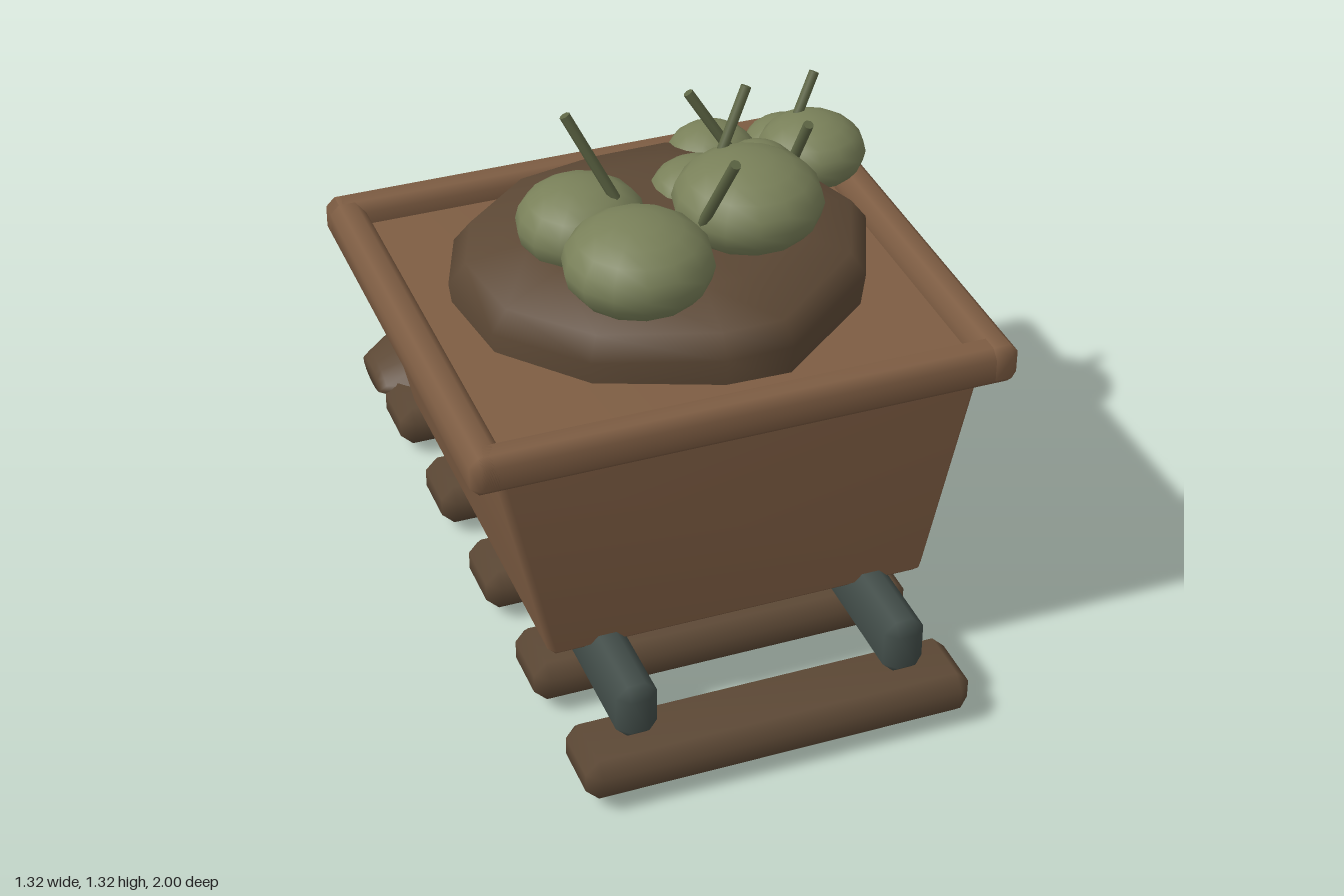
import * as THREE from 'three';
import { mergeVertices } from 'three/addons/utils/BufferGeometryUtils.js';
import { ConvexGeometry } from 'three/addons/geometries/ConvexGeometry.js';

const material = (name, color) => {
  const m = new THREE.MeshStandardMaterial({ color });
  m.name = name;
  return m;
};

// Smooth-shaded box with chamfered edges; taper narrows x towards the bottom
function chamferBox(w, h, d, c, taper = 1) {
  const half = [w / 2, h / 2, d / 2];
  const points = [];
  for (const sx of [-1, 1]) for (const sy of [-1, 1]) for (const sz of [-1, 1]) {
    for (let axis = 0; axis < 3; axis++) {
      const [x, y, z] = [sx, sy, sz].map((s, i) => s * (half[i] - (i === axis ? 0 : c)));
      const k = taper + (1 - taper) * (y / h + 0.5);
      points.push(new THREE.Vector3(x * k, y, z));
    }
  }
  let g = new ConvexGeometry(points);
  g.deleteAttribute('normal');
  g = mergeVertices(g, 1e-5);
  g.computeVertexNormals();
  return g;
}

// Skin stretched over equal-length rings of [x, y, z] points
function loft(rings) {
  const n = rings[0].length, index = [];
  for (let i = 0; i < rings.length - 1; i++) {
    for (let j = 0; j < n; j++) {
      const a = i * n + j, b = i * n + (j + 1) % n;
      index.push(a, a + n, b + n, a, b + n, b);
    }
  }
  const g = new THREE.BufferGeometry();
  g.setAttribute('position', new THREE.Float32BufferAttribute(rings.flat(2), 3));
  g.setIndex(index);
  g.computeVertexNormals();
  return g;
}

export function createModel() {
  const wood = material('cart wood', 0x7e5d43);
  const darkWood = material('dark brown', 0x5c4835);
  const iron = material('rail iron', 0x424d49);
  const green = material('fruit green', 0x798059);
  const stemGreen = material('stem green', 0x5d6544);

  const model = new THREE.Group();
  const add = (name, geometry, mat, x = 0, y = 0, z = 0) => {
    const mesh = new THREE.Mesh(geometry, mat);
    mesh.name = name;
    mesh.position.set(x, y, z);
    model.add(mesh);
    return mesh;
  };

  // Track: five sleepers and two rails
  for (let i = 0; i < 5; i++) {
    add('sleeper', chamferBox(0.955, 0.112, 0.2, 0.032), darkWood, 0, 0.086, 0.9 - i * 0.368);
  }
  for (const s of [-1, 1]) {
    add('rail', chamferBox(0.1, 0.145, 1.545, 0.028), iron, s * 0.332, 0.212, 0.161);
  }

  // Cart: tapered body and a rim of four beams
  const cz = 0.163;
  add('cartBody', chamferBox(1.2, 0.585, 1.1, 0.02, 0.78), wood, 0, 0.538, cz);
  for (const s of [-1, 1]) {
    add('rimSide', chamferBox(0.085, 0.1, 1.205, 0.022), wood, s * 0.6175, 0.835, cz);
    add('rimEnd', chamferBox(1.32, 0.1, 0.085, 0.022), wood, 0, 0.835, cz + s * 0.56);
  }

  // Heap of earth inside the cart
  const outline = [[-0.49, 0.05], [-0.42, -0.13], [-0.23, -0.28], [-0.02, -0.31], [0.19, -0.3],
    [0.36, -0.18], [0.46, -0.05], [0.53, 0.17], [0.43, 0.4], [0.16, 0.61], [0, 0.605],
    [-0.29, 0.49], [-0.46, 0.29]];
  const heap = [[0.78, 0.97], [0.9, 1], [0.955, 0.92], [1.0, 0.62], [1.02, 0.3], [1.02, 0]];
  add('earthHeap', loft(heap.map(([y, k]) => outline.map(([x, z]) =>
    [0.02 + (x - 0.02) * k, y + 0.04 * x * k, 0.17 + (z - 0.17) * k]))), darkWood);

  // Pinched sack lying behind the cart
  const sack = [];
  for (let i = 0; i <= 12; i++) {
    const t = Math.sin((i / 6 - 1) * Math.PI / 2);
    const hz = 0.27 * (1 - 0.7 * Math.abs(t) ** 2.2), hy = 0.137 * (1 - 0.8 * t * t);
    const ring = (k) => Array.from({ length: 16 }, (_, j) => {
      const a = j / 16 * Math.PI * 2;
      return [0.49 * t, 0.147 + 0.03 * t + k * hy * Math.cos(a), -0.73 - k * hz * Math.sin(a)];
    });
    if (i === 0) sack.push(ring(0));
    sack.push(ring(1));
    if (i === 12) sack.push(ring(0));
  }
  add('sack', loft(sack), darkWood);

  // Squashed round fruit: x, y, z, radius, half height
  const ball = new THREE.SphereGeometry(1, 14, 10);
  for (const [x, y, z, r, h] of [
    [-0.13, 1.055, 0.37, 0.178, 0.115], [0.18, 1.1, 0.267, 0.18, 0.112],
    [-0.18, 1.03, 0.12, 0.157, 0.105], [0.15, 0.99, 0.03, 0.12, 0.085],
    [0.497, 0.972, -0.095, 0.135, 0.09], [0.28, 0.93, -0.215, 0.115, 0.085],
    [0.48, 0.915, -0.215, 0.11, 0.08], [0.32, 0.985, -0.01, 0.1, 0.08],
  ]) add('fruit', ball, green, x, y, z).scale.set(r, h, r);

  // Stems, from base to tip
  for (const [base, tip] of [
    [[-0.115, 1.11, 0.175], [-0.22, 1.325, 0.125]], [[0.035, 1.1, 0.34], [0.066, 1.325, 0.465]],
    [[0.14, 1.16, 0.175], [0.222, 1.325, 0.14]], [[0.398, 0.99, 0], [0.415, 1.145, 0.07]],
    [[0.47, 1.03, -0.14], [0.53, 1.145, -0.167]], [[0.295, 0.99, -0.14], [0.2, 1.145, -0.175]],
  ]) {
    const a = new THREE.Vector3(...base), b = new THREE.Vector3(...tip);
    const dir = b.clone().sub(a), mid = a.add(b).multiplyScalar(0.5);
    const stem = add('stem', new THREE.CylinderGeometry(0.013, 0.013, dir.length(), 8), stemGreen, ...mid);
    stem.quaternion.setFromUnitVectors(new THREE.Vector3(0, 1, 0), dir.normalize());
  }
  return model;
}
